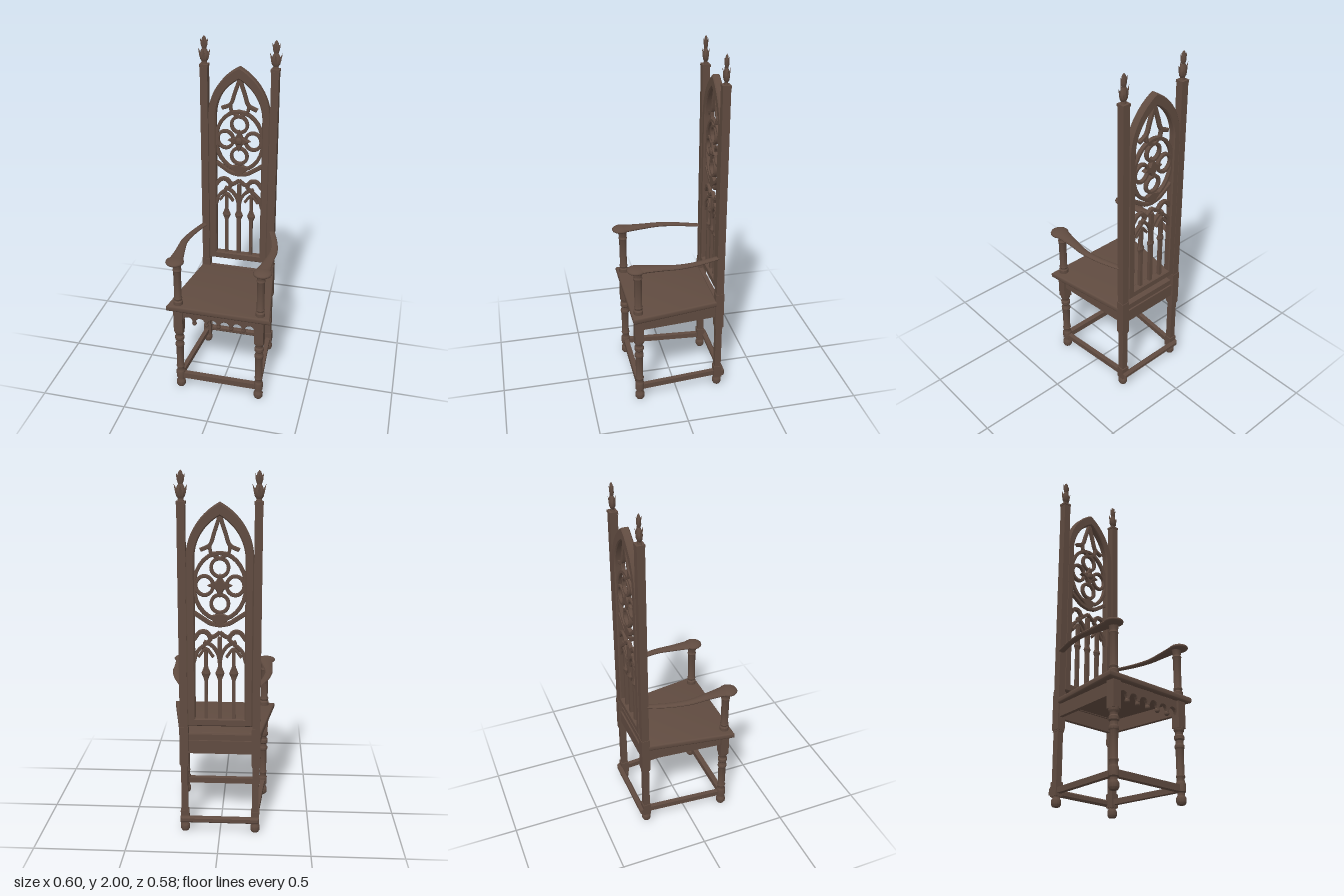
import * as THREE from 'three';
import { toCreasedNormals } from 'three/addons/utils/BufferGeometryUtils.js';

const wood = new THREE.MeshStandardMaterial({ color: 0x604b40 });
wood.name = 'dark walnut';
const V2 = (a) => a.map(([x, y]) => new THREE.Vector2(x, y));

export function createModel() {
  const chair = new THREE.Group();
  chair.name = 'chair';

  const add = (name, geo, x = 0, y = 0, z = 0, parent = chair) => {
    const m = new THREE.Mesh(toCreasedNormals(geo, 0.6), wood);
    m.name = name;
    m.position.set(x, y, z);
    parent.add(m);
    return m;
  };
  const box = (name, w, h, d, x, y, z) => add(name, new THREE.BoxGeometry(w, h, d), x, y, z);
  const lathe = (name, pts, x, y, z, seg = 14) => add(name, new THREE.LatheGeometry(V2(pts), seg), x, y, z);
  const extrude = (name, shape, depth, z, bevel = 0.004) => add(name, new THREE.ExtrudeGeometry(shape, {
    depth: depth - 2 * bevel, bevelEnabled: true, bevelSize: bevel, bevelThickness: bevel,
    bevelOffset: -bevel, bevelSegments: 1, curveSegments: 14 }), 0, 0, z + bevel);

  // straight beam between two points of the plan, at height y
  const beam = (name, x1, z1, x2, z2, y, h, w) => {
    const m = box(name, w, h, Math.hypot(x2 - x1, z2 - z1), (x1 + x2) / 2, y, (z1 + z2) / 2);
    m.rotation.y = Math.atan2(x2 - x1, z2 - z1);
  };

  // curved strip in the plane of the back
  const strip = (name, pts, width, n = 14) => {
    const c = new THREE.CatmullRomCurve3(pts.map(([x, y]) => new THREE.Vector3(x, y, 0)));
    const a = [], b = [];
    for (let i = 0; i <= n; i++) {
      const p = c.getPoint(i / n), t = c.getTangent(i / n);
      a.push([p.x - t.y * width / 2, p.y + t.x * width / 2]);
      b.unshift([p.x + t.y * width / 2, p.y - t.x * width / 2]);
    }
    extrude(name, new THREE.Shape(V2([...a, ...b])), 0.022, -0.263, 0.003);
  };
  const ring = (name, x, y, rx, ry, w) => {
    const s = new THREE.Shape().absellipse(x, y, rx + w / 2, ry + w / 2, 0, Math.PI * 2);
    s.holes.push(new THREE.Path().absellipse(x, y, rx - w / 2, ry - w / 2, 0, Math.PI * 2, true));
    extrude(name, s, 0.022, -0.263, 0.003);
  };

  // seat: a trapezoid board with rounded edge
  const seat = new THREE.ExtrudeGeometry(new THREE.Shape(V2([[-0.3, -0.265], [0.3, -0.265], [0.222, 0.23], [-0.222, 0.23]])),
    { depth: 0.015, bevelSize: 0.01, bevelOffset: -0.01, bevelThickness: 0.01, bevelSegments: 3 });
  add('seat', seat.rotateX(-Math.PI / 2), 0, 0.562, 0);

  // front apron with a row of small arches
  const apron = new THREE.Shape();
  apron.moveTo(-0.215, 0.555).lineTo(-0.215, 0.48);
  for (let i = 0; i < 6; i++) {
    const x = -0.18 + i * 0.072 - 0.036;
    apron.lineTo(x + 0.007, 0.475);
    apron.quadraticCurveTo(x + 0.012, 0.508, x + 0.036, 0.508);
    apron.quadraticCurveTo(x + 0.06, 0.508, x + 0.065, 0.475);
  }
  apron.lineTo(0.215, 0.48).lineTo(0.215, 0.555);
  extrude('frontApron', apron, 0.024, 0.215);
  for (let i = 0; i < 5; i++) {
    add('apronPendant', new THREE.SphereGeometry(0.014, 10, 8), -0.144 + i * 0.072, 0.469, 0.227);
  }
  box('backApron', 0.36, 0.075, 0.024, 0, 0.515, -0.25);
  box('backSeatRail', 0.36, 0.035, 0.025, 0, 0.568, -0.24);

  // stretchers front and back
  box('frontStretcher', 0.47, 0.035, 0.03, 0, 0.085, 0.225);
  const bar = new THREE.Shape(V2([[-0.22, 0.065], [0.22, 0.065], [0.22, 0.1], [-0.22, 0.1]]));
  extrude('backStretcher', bar, 0.03, -0.29, 0.008);

  const arch = (w, ys, bottom, apex, Type) => {
    const h = apex - ys, R = (w * w + h * h) / (2 * w), a = Math.atan2(h, R - w);
    const s = new Type();
    s.moveTo(-w, bottom);
    s.lineTo(w, bottom);
    s.lineTo(w, ys);
    s.absarc(w - R, ys, R, 0, a, false);
    s.absarc(R - w, ys, R, Math.PI - a, Math.PI, false);
    s.closePath();
    return s;
  };

  for (const s of [-1, 1]) {
    // back post: square shaft on a thicker foot, with finial
    const px = s * 0.197, pz = -0.248;
    box('backPost', 0.042, 1.43, 0.042, px, 1.115, pz);
    box('backPostBlock', 0.048, 0.22, 0.048, px, 0.52, pz);
    box('backLeg', 0.036, 0.36, 0.036, px, 0.23, pz);
    box('backLegBlock', 0.046, 0.075, 0.046, px, 0.093, pz);
    lathe('backFoot', [[0, 0], [0.02, 0], [0.026, 0.012], [0.026, 0.034], [0.019, 0.046], [0.019, 0.06]], px, 0.003, pz);
    box('postCap', 0.048, 0.014, 0.046, px, 1.838, pz);
    const fin = new THREE.Group();
    fin.name = 'finial';
    fin.position.set(px, 1.842, pz);
    fin.scale.z = 0.62;
    chair.add(fin);
    add('finialBud', new THREE.LatheGeometry(V2([[0.018, 0], [0.014, 0.016], [0.024, 0.03], [0.027, 0.055], [0.018, 0.078],
      [0.012, 0.088], [0.018, 0.105], [0.016, 0.128], [0.009, 0.148], [0, 0.158]]), 10), 0, 0, 0, fin);
    for (const [r, y, len] of [[0.026, 0.066, 0.05], [0.016, 0.125, 0.035]]) {
      for (let k = 0; k < 4; k++) {
        const a = k * Math.PI / 2;
        const leaf = add('finialLeaf', new THREE.ConeGeometry(0.01, len, 6), r * Math.cos(a), y, r * Math.sin(a), fin);
        leaf.rotation.set(Math.sin(a) * 0.35, 0, -Math.cos(a) * 0.35);
      }
    }

    // front leg: square head, turned rings, slim shaft, ball foot
    const fx = s * 0.236, fz = 0.226;
    box('frontLegHead', 0.052, 0.15, 0.05, fx, 0.48, fz);
    lathe('frontLeg', [[0, 0], [0.02, 0], [0.027, 0.012], [0.027, 0.034], [0.019, 0.048], [0.019, 0.06], [0.026, 0.066],
      [0.026, 0.11], [0.021, 0.118], [0.021, 0.135], [0.025, 0.145], [0.021, 0.155], [0.022, 0.29], [0.026, 0.296],
      [0.026, 0.31], [0.021, 0.318], [0.021, 0.335], [0.027, 0.343], [0.027, 0.36], [0.021, 0.368],
      [0.021, 0.38], [0.028, 0.39], [0.028, 0.41]], fx, 0.003, fz);

    // side apron and side stretcher
    beam('sideApron', s * 0.238, 0.21, s * 0.2, -0.23, 0.515, 0.07, 0.022);
    beam('sideStretcher', s * 0.236, 0.225, s * 0.197, -0.25, 0.085, 0.03, 0.026);

    // arm support
    lathe('armSupport', [[0.027, 0], [0.027, 0.025], [0.021, 0.033], [0.025, 0.045], [0.021, 0.055],
      [0.022, 0.22], [0.026, 0.23], [0.022, 0.24], [0.026, 0.27], [0.03, 0.28]], s * 0.238, 0.583, 0.226);

    // curved arm: unit tube reshaped to a swept, widening section
    const line = new THREE.CatmullRomCurve3([[0.204, 0.863, -0.235], [0.243, 0.864, -0.11], [0.261, 0.866, 0],
      [0.254, 0.868, 0.1], [0.245, 0.87, 0.215]].map((p) => new THREE.Vector3(...p)));
    const arm = new THREE.CylinderGeometry(1, 1, 1, 12, 18);
    const pos = arm.attributes.position;
    for (let i = 0; i < pos.count; i++) {
      const t = 0.5 - pos.getY(i), p = line.getPoint(t);
      const w = 0.018 + 0.004 * t + 0.02 * t ** 4, h = 0.008 + 0.007 * t;
      // the cylinder's top end lies at the back post
      pos.setXYZ(i, s * p.x + pos.getX(i) * w, p.y + pos.getZ(i) * h, p.z);
    }
    arm.computeVertexNormals();
    add('arm', arm);
    const knob = add('armKnob', new THREE.SphereGeometry(0.052, 16, 10), s * 0.247, 0.868, 0.235);
    knob.scale.y = 0.35;

    // tracery of the back
    strip('upperStrut', [[0, 1.775], [s * 0.028, 1.69], [s * 0.052, 1.625], [s * 0.1, 1.6]], 0.02);
    strip('upperCusp', [[s * 0.052, 1.63], [s * 0.045, 1.585], [0, 1.555]], 0.017);
    ring('sideLobe', s * 0.08, 1.415, 0.045, 0.05, 0.018);
    strip('roseCorner', [[s * 0.135, 1.27], [s * 0.09, 1.24], [s * 0.05, 1.215], [0, 1.205]], 0.022);
    strip('cuspedArch', [[s * 0.137, 1.125], [s * 0.105, 1.165], [s * 0.07, 1.165], [s * 0.045, 1.125]], 0.022);
    strip('cuspedArchInner', [[s * 0.075, 1.165], [s * 0.04, 1.14], [0, 1.165]], 0.02);
    strip('lancetOuter', [[s * 0.137, 1.0], [s * 0.118, 1.06], [s * 0.07, 1.105], [s * 0.045, 1.13]], 0.018);
    strip('lancetInner', [[0, 1.0], [s * 0.014, 1.055], [s * 0.045, 1.095], [s * 0.085, 1.115]], 0.018);
  }

  // pointed frame of the back
  const frame = arch(0.176, 1.55, 0.642, 1.842, THREE.Shape);
  frame.holes.push(arch(0.132, 1.55, 0.685, 1.775, THREE.Path));
  extrude('backFrame', frame, 0.042, -0.272, 0.006);

  // rose: outer ring, upper and lower lobes, flower boss
  ring('roseRing', 0, 1.41, 0.135, 0.175, 0.02);
  ring('upperLobe', 0, 1.51, 0.045, 0.047, 0.018);
  ring('lowerLobe', 0, 1.32, 0.045, 0.047, 0.018);
  extrude('roseFoot', new THREE.Shape(V2([[-0.06, 1.25], [0, 1.27], [0.06, 1.25], [0, 1.195]])), 0.022, -0.263, 0.003);
  const star = [];
  for (let i = 0; i < 8; i++) {
    const r = i % 2 ? 0.03 : 0.065, a = i * Math.PI / 4;
    star.push([r * Math.cos(a), 1.415 + r * Math.sin(a)]);
  }
  extrude('roseFlower', new THREE.Shape(V2(star)), 0.028, -0.262, 0.005);
  const boss = add('roseBoss', new THREE.SphereGeometry(0.022, 10, 8), 0, 1.415, -0.236);
  boss.scale.z = 0.6;

  // mullions with carved beads
  for (const x of [-0.074, 0, 0.074]) {
    box('mullion', x ? 0.018 : 0.022, x ? 0.4 : 0.46, 0.02, x, x ? 0.88 : 0.91, -0.252);
    lathe('mullionBead', [[0.008, 0], [0.013, 0.02], [0.025, 0.05], [0.013, 0.08], [0.008, 0.1]], x, 0.89, -0.252, 8).scale.z = 0.6;
    if (x) strip('mullionCap', [[x - 0.04, 1.03], [x, 1.075], [x + 0.04, 1.03]], 0.014);
  }
  return chair;
}
